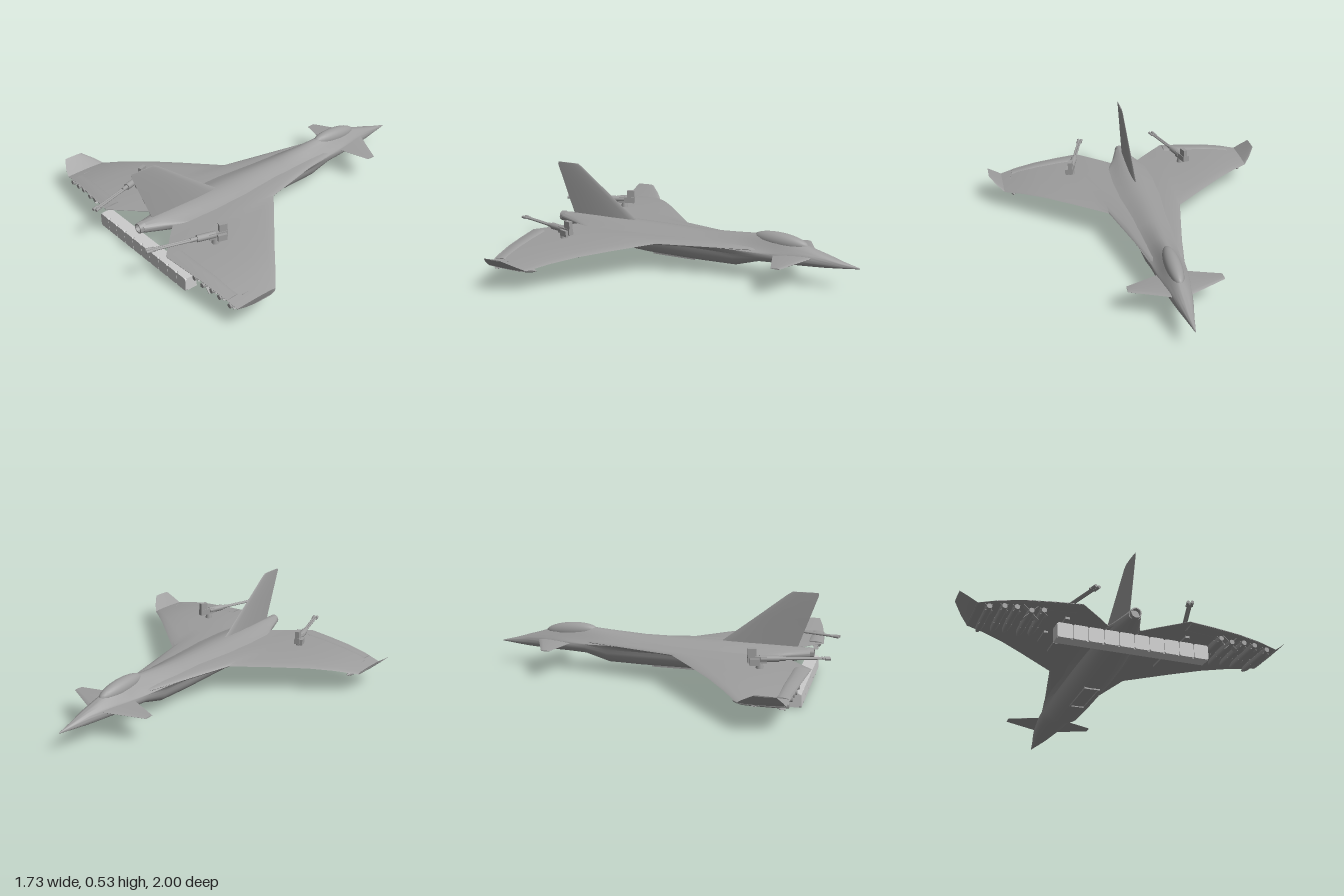
import * as THREE from 'three';
import { toCreasedNormals } from 'three/addons/utils/BufferGeometryUtils.js';

const hullGrey = new THREE.MeshStandardMaterial({ color: 0x9e9e9e });
const lightGrey = new THREE.MeshStandardMaterial({ color: 0xcccccc });

function add(parent, name, geo, x = 0, y = 0, z = 0, material = hullGrey) {
  const m = new THREE.Mesh(geo, material);
  m.name = name;
  m.position.set(x, y, z);
  parent.add(m);
  return m;
}

// Closed skin over equal-length rings, capped at both ends, faces turned outward
function loft(rings, crease = 0.6) {
  const n = rings[0].length, pos = rings.flat(2), tris = [];
  const last = (rings.length - 1) * n;
  for (let r = 0; r < rings.length - 1; r++) {
    for (let i = 0; i < n; i++) {
      const a = r * n + i, b = r * n + (i + 1) % n;
      tris.push([a, b, b + n], [a, b + n, a + n]);
    }
  }
  for (let i = 1; i < n - 1; i++) {
    tris.push([0, i + 1, i], [last, last + i, last + i + 1]);
  }
  const v = (i) => new THREE.Vector3().fromArray(pos, i * 3);
  const volume = tris.reduce((s, [a, b, c]) => s + v(a).dot(v(b).cross(v(c))), 0);
  const geo = new THREE.BufferGeometry();
  geo.setAttribute('position', new THREE.Float32BufferAttribute(pos, 3));
  geo.setIndex(tris.flatMap(([a, b, c]) => (volume < 0 ? [a, c, b] : [a, b, c])));
  return toCreasedNormals(geo, crease);
}

// Thin aerofoil outline: [chord fraction, half-thickness fraction]
const upper = [[0, 0], [0.03, 0.45], [0.12, 0.8], [0.35, 1], [0.6, 0.8], [0.8, 0.5], [1, 0.08]];
const foil = [...upper, ...upper.slice(1).reverse().map(([c, h]) => [c, -h])];

// Horizontal surface from stations [x, zLead, zTrail, y, halfThickness]
const panel = (stations, s) => loft(stations.map(([x, z0, z1, y, t]) =>
  foil.map(([c, h]) => [s * x, y + h * t, z0 + c * (z1 - z0)])));

// z, lower half width, upper half width, top, widest height, bottom, bell blend of the back
const fuselage = [
  [-1, 0.002, 0.002, 0.136, 0.134, 0.131, 0], [-0.9, 0.022, 0.022, 0.162, 0.14, 0.122, 0],
  [-0.82, 0.041, 0.041, 0.187, 0.15, 0.116, 0], [-0.74, 0.057, 0.057, 0.211, 0.156, 0.113, 0.2],
  [-0.64, 0.074, 0.074, 0.245, 0.163, 0.11, 0.5], [-0.54, 0.086, 0.086, 0.264, 0.165, 0.109, 0.7],
  [-0.44, 0.093, 0.093, 0.258, 0.168, 0.104, 0.8], [-0.3, 0.105, 0.12, 0.245, 0.178, 0.061, 0.9],
  [-0.1, 0.113, 0.155, 0.231, 0.183, 0.058, 1], [0.25, 0.115, 0.19, 0.229, 0.183, 0.06, 1],
  [0.45, 0.11, 0.18, 0.229, 0.183, 0.074, 1], [0.62, 0.098, 0.13, 0.227, 0.183, 0.105, 0.8],
  [0.75, 0.068, 0.07, 0.223, 0.184, 0.14, 0.3], [0.86, 0.033, 0.033, 0.218, 0.19, 0.164, 0],
];

function bodyRing([z, wLow, wUp, top, mid, bot, bell]) {
  const ring = [];
  for (let i = 0; i < 40; i++) {
    const a = (i / 40) * Math.PI * 2, c = Math.cos(a), s = Math.sin(a);
    if (s >= 0) {
      const round = s, soft = 0.5 + 0.5 * Math.cos(Math.PI * c);
      ring.push([wUp * c, mid + (top - mid) * THREE.MathUtils.lerp(round, soft, bell), z]);
    } else {
      const p = 2 / 2.7;
      ring.push([wLow * Math.sign(c) * Math.abs(c) ** p, mid - (mid - bot) * Math.abs(s) ** p, z]);
    }
  }
  return ring;
}

const wing = [
  [0, -0.5, 0.7, 0.185, 0.02], [0.09, -0.42, 0.72, 0.183, 0.018],
  [0.15, -0.16, 0.78, 0.181, 0.016], [0.215, 0.12, 0.84, 0.179, 0.014],
  [0.28, 0.175, 0.9, 0.177, 0.013], [0.42, 0.295, 0.888, 0.172, 0.012],
  [0.56, 0.415, 0.874, 0.164, 0.01], [0.68, 0.515, 0.86, 0.149, 0.008],
  [0.785, 0.605, 0.845, 0.126, 0.006],
];
const winglet = [
  [0.78, 0.602, 0.846, 0.125, 0.006], [0.82, 0.64, 0.835, 0.155, 0.005],
  [0.865, 0.7, 0.81, 0.194, 0.003],
];
const canard = [
  [0.03, -0.755, -0.512, 0.168, 0.009], [0.08, -0.73, -0.532, 0.167, 0.008],
  [0.262, -0.64, -0.588, 0.16, 0.003],
];
const flap = [
  [0.29, 0.81, 0.898, 0.176, 0.012], [0.42, 0.804, 0.886, 0.171, 0.011],
  [0.56, 0.796, 0.872, 0.163, 0.01], [0.715, 0.785, 0.854, 0.142, 0.008],
];
// x, y, z, tail fin span
const missiles = [
  [0.465, 0.132, 0.725, 0.052], [0.525, 0.122, 0.722, 0.105], [0.595, 0.13, 0.72, 0.052],
  [0.655, 0.126, 0.718, 0.052], [0.727, 0.115, 0.712, 0.052],
];

// Finned store with its pylon, nose toward -z
function makeMissile(s, x, y, z, span) {
  const g = new THREE.Group();
  g.name = 'missile';
  const profile = [[0, -0.14], [0.008, -0.125], [0.015, -0.1], [0.0175, -0.07],
    [0.0175, 0.11], [0.013, 0.14], [0, 0.14]].map(([r, h]) => new THREE.Vector2(r, h));
  add(g, 'missileBody', toCreasedNormals(new THREE.LatheGeometry(profile, 12).rotateX(Math.PI / 2), 0.6));
  for (let i = 0; i < 2; i++) {
    const a = Math.PI / 4 + i * Math.PI / 2;
    add(g, 'tailFin', new THREE.BoxGeometry(span, 0.002, 0.03), 0, 0, 0.11).rotation.z = a;
    add(g, 'midFin', new THREE.BoxGeometry(0.044, 0.002, 0.025), 0, 0, -0.03).rotation.z = a;
  }
  add(g, 'pylon', new THREE.BoxGeometry(0.006, 0.018, 0.12), 0, 0.02, 0);
  g.position.set(s * x, y, z);
  return g;
}

// Rear-facing twin gun on a pedestal above the wing
function makeGun(s) {
  const g = new THREE.Group();
  g.name = 'gunTurret';
  const rod = (r, len) => new THREE.CylinderGeometry(r, r, len, 12).rotateX(Math.PI / 2);
  add(g, 'pedestal', new THREE.CylinderGeometry(0.016, 0.023, 0.04, 12), 0, 0.195, 0);
  add(g, 'gunBody', new THREE.BoxGeometry(0.03, 0.036, 0.1), 0, 0.23, -0.015);
  add(g, 'sightHousing', new THREE.BoxGeometry(0.024, 0.045, 0.045), 0, 0.268, -0.042);
  add(g, 'ammoBox', new THREE.BoxGeometry(0.02, 0.035, 0.05), s * 0.022, 0.222, -0.03);
  add(g, 'barrelJacket', rod(0.019, 0.1), 0, 0.234, 0.05);
  add(g, 'barrelSleeve', rod(0.012, 0.04), 0, 0.234, 0.115);
  for (const x of [-0.006, 0.006]) {
    add(g, 'barrel', rod(0.006, 0.23), x, 0.234, 0.235);
    add(g, 'muzzle', rod(0.008, 0.03), x * 1.7, 0.234, 0.355);
  }
  add(g, 'muzzleBrace', new THREE.BoxGeometry(0.036, 0.008, 0.01), 0, 0.234, 0.33);
  g.position.set(s * 0.352, 0, 0.638);
  g.rotation.y = -s * 0.307;
  return g;
}

export function createModel() {
  const model = new THREE.Group();
  model.name = 'deltaWingAircraft';
  const plane = new THREE.Group();
  plane.name = 'aircraft';
  plane.rotation.y = -0.0075;
  plane.position.x = 0.006;
  model.add(plane);

  // Body, canopy and exhaust
  add(plane, 'fuselage', loft(fuselage.map(bodyRing), 0.7));
  add(plane, 'canopy', new THREE.SphereGeometry(1, 28, 16).scale(0.045, 0.049, 0.16)
    .rotateX(-0.08), 0, 0.226, -0.55);
  const nozzle = [[0.032, -0.01], [0.028, 0.025], [0.022, 0.025], [0.02, -0.01]]
    .map(([r, h]) => new THREE.Vector2(r, h));
  add(plane, 'exhaustNozzle', toCreasedNormals(
    new THREE.LatheGeometry(nozzle, 24).rotateX(Math.PI / 2), 0.6), 0, 0.191, 0.855);

  // Vertical tail from stations [y, zLead, zTrail, halfThickness]
  const fin = [[0.2, 0.32, 0.78, 0.013], [0.24, 0.375, 0.795, 0.011],
    [0.38, 0.555, 0.845, 0.007], [0.515, 0.725, 0.893, 0.004], [0.53, 0.75, 0.89, 0.003]];
  add(plane, 'tailFin', loft(fin.map(([y, z0, z1, t]) =>
    foil.map(([c, h]) => [h * t, y, z0 + c * (z1 - z0)]))));
  add(plane, 'tailSpike', new THREE.ConeGeometry(0.007, 0.12, 8).rotateX(Math.PI / 2), 0, 0.212, 0.83);

  // Raised frame under the belly
  for (const s of [-1, 1]) {
    add(plane, 'bellyFrameSide', new THREE.BoxGeometry(0.008, 0.018, 0.26), s * 0.04, 0.062, 0.09);
    add(plane, 'bellyFrameEnd', new THREE.BoxGeometry(0.088, 0.018, 0.008), 0, 0.062, 0.09 + s * 0.13);
  }

  // Paired parts
  for (const s of [-1, 1]) {
    add(plane, 'wing', panel(wing, s));
    add(plane, 'winglet', panel(winglet, s));
    add(plane, 'canard', panel(canard, s));
    add(plane, 'flap', panel(flap, s));
    missiles.forEach((m) => plane.add(makeMissile(s, ...m)));
    [[0.3, 0.45], [0.38, 0.55], [0.32, 0.72]].forEach(([x, z]) =>
      add(plane, 'underwingMount', new THREE.BoxGeometry(0.022, 0.012, 0.11), s * x, 0.159, z));
    plane.add(makeGun(s));
  }

  // Long bar behind and below the tail, faced with a row of rounded tiles
  const row = new THREE.Group();
  row.name = 'tiledBar';
  const h = 0.0385, r = 0.01;
  const tile = new THREE.Shape();
  tile.absarc(h - r, h - r, r, 0, Math.PI / 2);
  tile.absarc(r - h, h - r, r, Math.PI / 2, Math.PI);
  tile.absarc(r - h, r - h, r, Math.PI, Math.PI * 1.5);
  tile.absarc(h - r, r - h, r, Math.PI * 1.5, Math.PI * 2);
  const tileGeo = new THREE.ExtrudeGeometry(tile, { depth: 0.012, bevelEnabled: false, curveSegments: 4 });
  add(row, 'bar', new THREE.BoxGeometry(0.785, 0.075, 0.06), -0.008, 0.0385, 0.825, lightGrey);
  for (let i = 0; i < 10; i++) {
    add(row, 'tile', tileGeo, -0.362 + i * 0.0787, 0.0385, 0.854, lightGrey);
  }
  model.add(row);
  return model;
}
